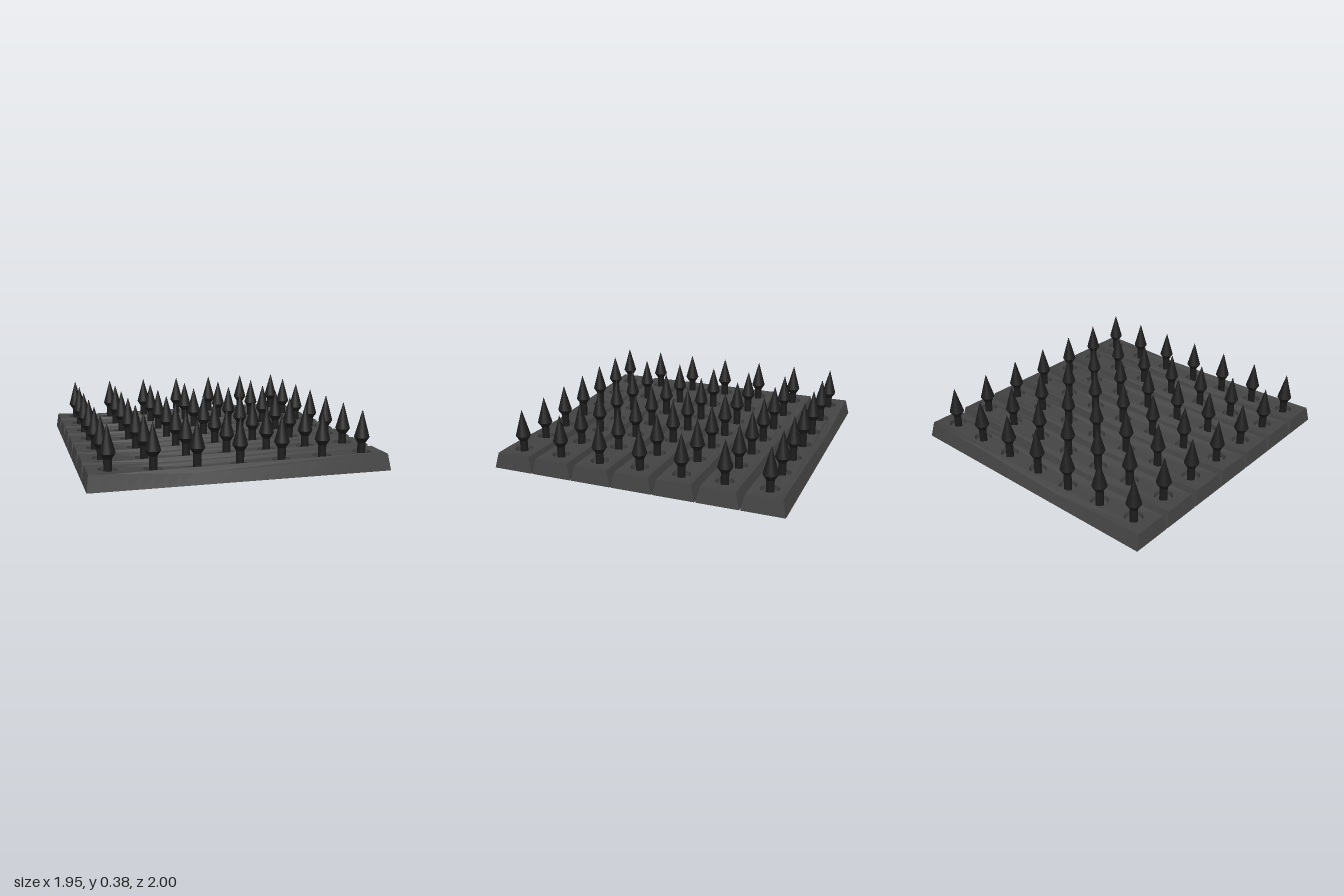
import * as THREE from 'three';

const COUNT = 7, PITCH_Z = 0.2867, PITCH_X = 0.277;
const BOTTOM = [0.977, 0.14], TOP = [0.963, 0.115];   // half length, half width
const HOLE_R = 0.06, CUP_DEPTH = 0.03, SIDES = 24;

const plankMaterial = new THREE.MeshStandardMaterial({ color: 0x444444, side: THREE.DoubleSide });
const spikeMaterial = new THREE.MeshStandardMaterial({ color: 0x1c1c1c, side: THREE.DoubleSide });

// Sagging top line of a plank, as [x, y]
const SAG = [[-0.97, 0.107], [-0.75, 0.096], [-0.5, 0.08], [-0.3, 0.07], [-0.15, 0.072],
  [0.1, 0.082], [0.45, 0.096], [0.8, 0.105], [0.97, 0.106]];

function deckHeight(x, z) {
  let i = 0;
  while (i < SAG.length - 2 && x > SAG[i + 1][0]) i++;
  const [x0, y0] = SAG[i], [x1, y1] = SAG[i + 1];
  const y = y0 + (y1 - y0) * (x - x0) / (x1 - x0);
  // the front edge lies a little lower on the shallow slope
  const tilt = Math.max(0, 1 - Math.abs(x - 0.3) / 0.55) * 0.004;
  return y - tilt * (1 + z / TOP[1]);
}

// Outline in -1..1 units, counterclockwise from above, with points along the long sides
function outline() {
  const steps = 24, pts = [];
  for (let i = 0; i <= steps; i++) pts.push([-1 + 2 * i / steps, 1]);
  for (let i = 0; i <= steps; i++) pts.push([1 - 2 * i / steps, -1]);
  return pts;
}

const spikeXs = Array.from({ length: COUNT }, (_, i) => (i - 3) * PITCH_X);

// Top surface with a round hole for each spike
function deckGeometry() {
  const shape = new THREE.Shape(outline().map(([x, z]) => new THREE.Vector2(x * TOP[0], -z * TOP[1])));
  for (const cx of spikeXs) {
    const pts = [];
    for (let i = 0; i < SIDES; i++) {
      const a = -i / SIDES * Math.PI * 2;
      pts.push(new THREE.Vector2(cx + HOLE_R * Math.sin(a), HOLE_R * Math.cos(a)));
    }
    shape.holes.push(new THREE.Path(pts));
  }
  const geo = new THREE.ShapeGeometry(shape).rotateX(-Math.PI / 2);
  const p = geo.attributes.position;
  for (let i = 0; i < p.count; i++) p.setY(i, deckHeight(p.getX(i), p.getZ(i)));
  geo.computeVertexNormals();
  return geo;
}

// Sloping walls round the hollow underside
function wallGeometry() {
  const pts = outline(), pos = [];
  pts.forEach((p, i) => {
    const q = pts[(i + 1) % pts.length];
    const low = ([x, z]) => [x * BOTTOM[0], 0, z * BOTTOM[1]];
    const high = ([x, z]) => [x * TOP[0], deckHeight(x * TOP[0], z * TOP[1]), z * TOP[1]];
    pos.push(...low(p), ...low(q), ...high(q), ...low(p), ...high(q), ...high(p));
  });
  const geo = new THREE.BufferGeometry();
  geo.setAttribute('position', new THREE.Float32BufferAttribute(pos, 3));
  geo.computeVertexNormals();
  return geo;
}

// Side of the recess around a spike, its rim following the deck
function cupGeometry(cx) {
  const floor = deckHeight(cx, 0) - CUP_DEPTH;
  const geo = new THREE.CylinderGeometry(HOLE_R, HOLE_R * 0.9, 1, SIDES, 1, true);
  const p = geo.attributes.position;
  for (let i = 0; i < p.count; i++) {
    p.setY(i, p.getY(i) > 0 ? deckHeight(cx + p.getX(i), p.getZ(i)) : floor);
  }
  return geo;
}

// Pointed head on a round shaft, hollow at its lower end
function spikeParts(bottom) {
  const shaft = new THREE.CylinderGeometry(0.026, 0.026, 0.17 - bottom, 16, 1, true)
    .translate(0, (0.17 + bottom) / 2, 0);
  const collar = new THREE.CylinderGeometry(0.05, 0.027, 0.035, 16, 1, true).translate(0, 0.1825, 0);
  const point = new THREE.CylinderGeometry(0.001, 0.05, 0.178, 16, 1, true).translate(0, 0.289, 0);
  return { shaft, collar, point };
}

function addMesh(parent, name, geometry, material) {
  const mesh = new THREE.Mesh(geometry, material);
  mesh.name = name;
  parent.add(mesh);
  return mesh;
}

export function createModel() {
  const model = new THREE.Group();
  model.name = 'spikedPlanks';
  const deck = deckGeometry(), walls = wallGeometry();
  const floorRing = new THREE.RingGeometry(0.024, HOLE_R * 0.9, SIDES).rotateX(-Math.PI / 2);
  const columns = spikeXs.map((x) => {
    const floor = deckHeight(x, 0) - CUP_DEPTH;
    return { x, floor, cup: cupGeometry(x), parts: spikeParts(floor - 0.006) };
  });

  for (let row = 0; row < COUNT; row++) {
    const plank = new THREE.Group();
    plank.name = 'plank';
    plank.position.z = (row - 3) * PITCH_Z;
    addMesh(plank, 'deck', deck, plankMaterial);
    addMesh(plank, 'walls', walls, plankMaterial);
    for (const { x, floor, cup, parts } of columns) {
      addMesh(plank, 'cupSide', cup, plankMaterial).position.x = x;
      addMesh(plank, 'cupFloor', floorRing, plankMaterial).position.set(x, floor, 0);
      const spike = new THREE.Group();
      spike.name = 'spike';
      spike.position.x = x;
      for (const [name, geo] of Object.entries(parts)) addMesh(spike, name, geo, spikeMaterial);
      plank.add(spike);
    }
    model.add(plank);
  }
  return model;
}
